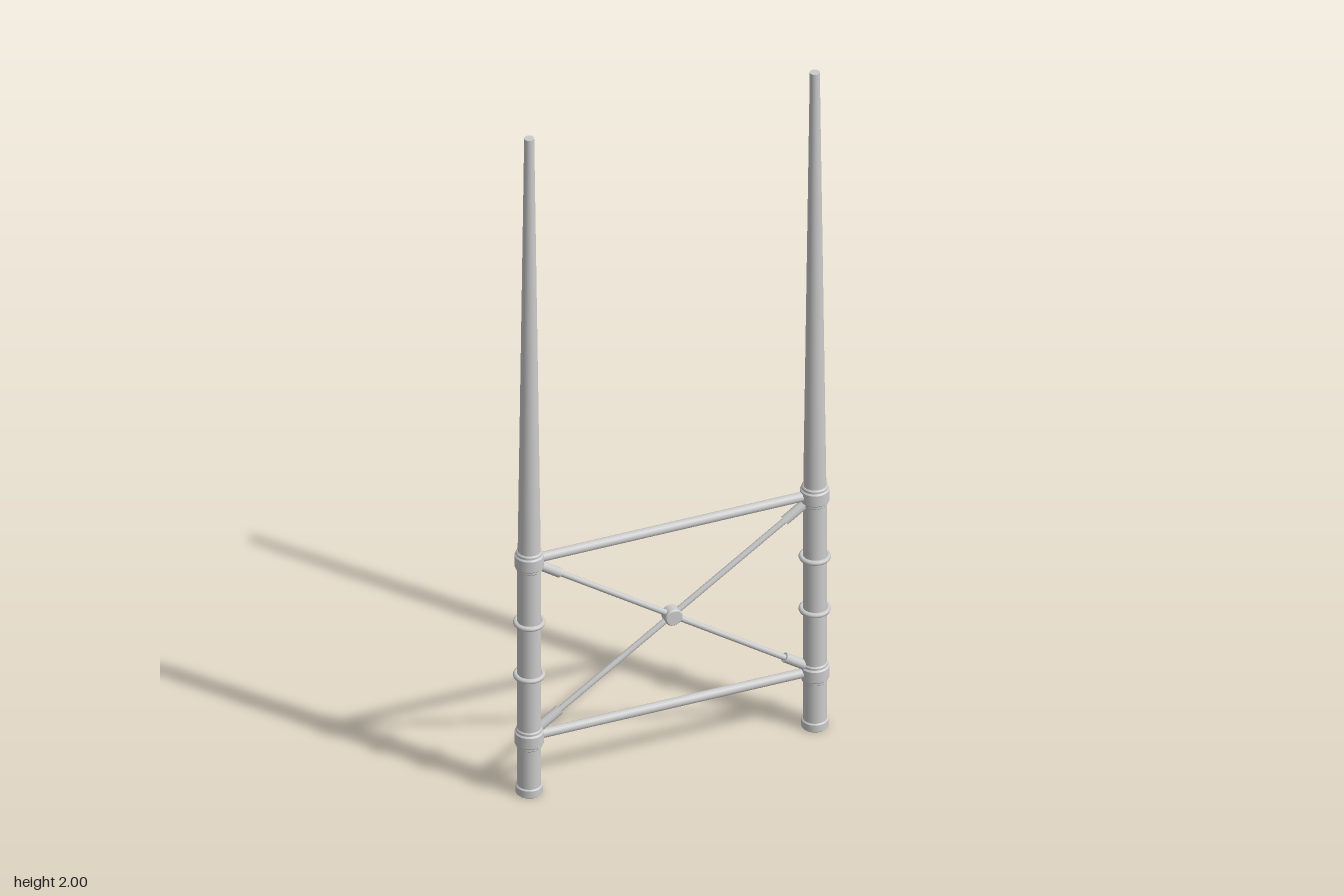
import * as THREE from 'three';

const material = new THREE.MeshStandardMaterial({ color: 0xcccccc });
const POST_X = 0.396, LOW_Y = 0.17, HIGH_Y = 0.71, MID_Y = 0.44;

function add(parent, name, geometry, x = 0, y = 0, z = 0) {
  const mesh = new THREE.Mesh(geometry, material);
  mesh.name = name;
  mesh.position.set(x, y, z);
  parent.add(mesh);
  return mesh;
}

// Round bar between two points, optionally tapered
function bar(parent, name, a, b, r0, r1 = r0) {
  const dir = b.clone().sub(a);
  const mesh = add(parent, name, new THREE.CylinderGeometry(r1, r0, dir.length(), 16));
  mesh.position.copy(a).add(b).multiplyScalar(0.5);
  mesh.quaternion.setFromUnitVectors(new THREE.Vector3(0, 1, 0), dir.normalize());
  return mesh;
}

// Band with small bevels at both edges
function band(r, h, bevel) {
  const profile = [[0, -h / 2], [r - bevel, -h / 2], [r, -h / 2 + bevel], [r, h / 2 - bevel], [r - bevel, h / 2], [0, h / 2]];
  // Doubled points keep the edges crisp
  const points = profile.flatMap(([x, y]) => [new THREE.Vector2(x, y), new THREE.Vector2(x, y)]);
  return new THREE.LatheGeometry(points, 24);
}

function createPost(side) {
  const post = new THREE.Group();
  post.name = side > 0 ? 'leftPost' : 'rightPost';
  post.position.x = side * POST_X;

  // Straight lower shaft and long tapered upper shaft
  add(post, 'lowerShaft', new THREE.CylinderGeometry(0.031, 0.031, 0.72, 24), 0, 0.365);
  add(post, 'upperShaft', new THREE.CylinderGeometry(0.013, 0.03, 1.28, 24), 0, 1.36);

  // Foot, collars at the rails, and thin rings between them
  add(post, 'foot', band(0.035, 0.026, 0.003), 0, 0.013);
  for (const y of [LOW_Y, HIGH_Y]) {
    add(post, 'collar', band(0.038, 0.042, 0.005), 0, y);
    add(post, 'collarLip', band(0.034, 0.058, 0.003), 0, y);
  }
  for (const y of [0.36, 0.52]) {
    const ring = add(post, 'ring', new THREE.TorusGeometry(0.035, 0.007, 10, 24), 0, y);
    ring.rotation.x = Math.PI / 2;
  }
  return post;
}

export function createModel() {
  const model = new THREE.Group();
  model.name = 'twinPostFrame';
  for (const side of [-1, 1]) model.add(createPost(side));

  // Horizontal rails
  for (const y of [LOW_Y, HIGH_Y]) {
    bar(model, y === LOW_Y ? 'lowerRail' : 'upperRail',
      new THREE.Vector3(-POST_X, y, 0), new THREE.Vector3(POST_X, y, 0), 0.013);
  }

  // Diagonal rods with a thicker tensioner at each end
  const centre = new THREE.Vector3(0, MID_Y, 0);
  for (const sx of [-1, 1]) {
    for (const sy of [-1, 1]) {
      const end = new THREE.Vector3(sx * 0.38, MID_Y + sy * 0.255, 0);
      const at = (t) => centre.clone().lerp(end, t);
      bar(model, 'braceRod', centre, end, 0.008);
      bar(model, 'braceTensioner', at(0.82), at(0.97), 0.013);
    }
  }

  // Hub where the rods cross
  const hub = add(model, 'hub', band(0.024, 0.034, 0.003), 0, MID_Y);
  hub.rotation.x = Math.PI / 2;
  return model;
}
